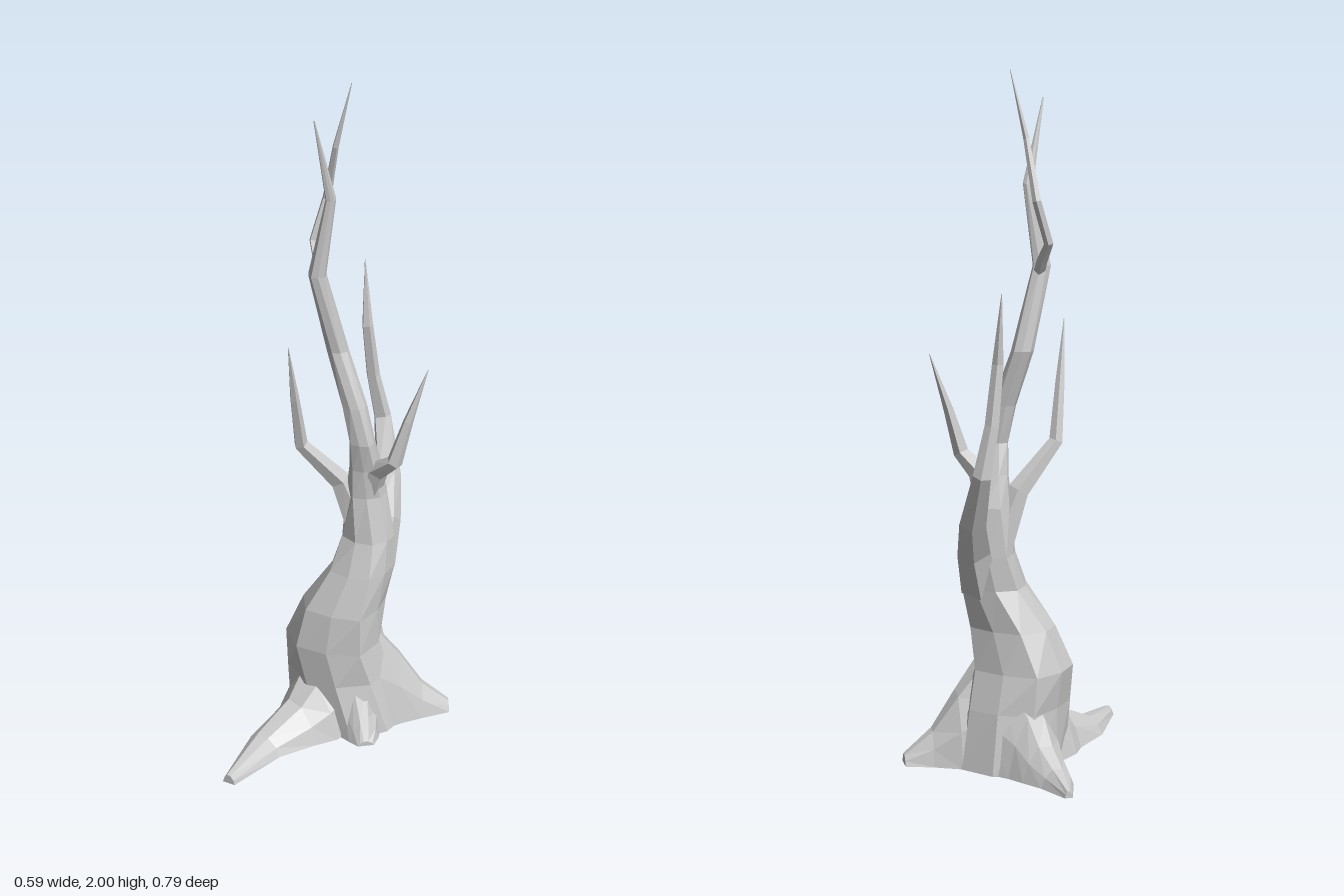
import * as THREE from 'three';

const bark = new THREE.MeshStandardMaterial({ color: 0xcccccc, flatShading: true });

// Skin a stack of equal-sized rings and close both ends
function loft(rings, name) {
  const n = rings[0].length, last = rings.length - 1, pos = [], idx = [];
  rings.forEach(r => r.forEach(p => pos.push(p.x, p.y, p.z)));
  const centre = r => {
    const c = r.reduce((s, p) => s.add(p), new THREE.Vector3()).divideScalar(n);
    pos.push(c.x, c.y, c.z);
    return pos.length / 3 - 1;
  };
  for (let j = 0; j < last; j++) for (let i = 0; i < n; i++) {
    const a = j * n + i, b = j * n + (i + 1) % n;
    idx.push(a, a + n, b, b, a + n, b + n);
  }
  const c0 = centre(rings[0]), c1 = centre(rings[last]);
  for (let i = 0; i < n; i++) {
    const k = (i + 1) % n;
    idx.push(c0, i, k, c1, last * n + k, last * n + i);
  }
  const g = new THREE.BufferGeometry();
  g.setAttribute('position', new THREE.Float32BufferAttribute(pos, 3));
  g.setIndex(idx);
  g.computeVertexNormals();
  const mesh = new THREE.Mesh(g, bark);
  mesh.name = name;
  return mesh;
}

// Direction of a path at station j
function tangent(pts, j) {
  const a = pts[Math.max(j - 1, 0)], b = pts[Math.min(j + 1, pts.length - 1)];
  return b.clone().sub(a).normalize();
}

// Trunk: level rings [x, y, z, radiusX, radiusZ], gnarled by a gentle wobble
function trunk(levels, name) {
  const sides = 9;
  return loft(levels.map(([x, y, z, rx, rz], j) =>
    Array.from({ length: sides }, (_, i) => {
      const a = (i / sides) * Math.PI * 2 + j * 0.12;
      const w = 1.03 + 0.08 * Math.sin(i * 2.6 + j * 0.7);
      return new THREE.Vector3(x + Math.cos(a) * rx * w, y, z + Math.sin(a) * rz * w);
    })), name);
}

// Branch: stations [x, y, z, radius], rings square to the path
function branch(stations, name) {
  const sides = 5, pts = stations.map(s => new THREE.Vector3(s[0], s[1], s[2]));
  const ref = new THREE.Vector3(1, 0, 0.3).normalize();
  return loft(stations.map((s, j) => {
    const t = tangent(pts, j);
    const u = ref.clone().addScaledVector(t, -ref.dot(t)).normalize();
    const v = u.clone().cross(t);
    return Array.from({ length: sides }, (_, i) => {
      const a = (i / sides) * Math.PI * 2;
      return pts[j].clone().addScaledVector(u, Math.cos(a) * s[3]).addScaledVector(v, Math.sin(a) * s[3]);
    });
  }), name);
}

// Root: stations [x, z, halfWidth, height], a ridged section lying flat on the ground
function root(stations, name) {
  const section = [[1, 0], [0.75, 0.55], [0.3, 1], [-0.3, 0.95], [-0.8, 0.5], [-1, 0]];
  const pts = stations.map(s => new THREE.Vector3(s[0], 0, s[1]));
  const up = new THREE.Vector3(0, 1, 0);
  return loft(stations.map((s, j) => {
    const u = tangent(pts, j).cross(up);
    return section.map(([p, q]) => pts[j].clone().addScaledVector(u, p * s[2]).addScaledVector(up, q * s[3]));
  }), name);
}

export function createModel() {
  const tree = new THREE.Group();
  tree.name = 'deadTree';

  // Trunk, leaning and tapering into the tall central limb
  tree.add(trunk([
    [0.08, 0, -0.15, 0.165, 0.165],
    [0.065, 0.17, -0.125, 0.145, 0.15],
    [0.055, 0.28, -0.105, 0.145, 0.135],
    [0.08, 0.4, -0.115, 0.125, 0.115],
    [0.115, 0.52, -0.155, 0.092, 0.09],
    [0.115, 0.62, -0.18, 0.08, 0.07],
    [0.108, 0.76, -0.18, 0.058, 0.06],
    [0.115, 0.85, -0.165, 0.048, 0.045],
    [0.122, 0.94, -0.145, 0.04, 0.036],
    [0.095, 1.05, -0.138, 0.038, 0.035],
    [0.035, 1.21, -0.125, 0.034, 0.032],
    [0.015, 1.45, -0.065, 0.026, 0.027],
    [0.048, 1.68, -0.085, 0.015, 0.016],
    [0.04, 1.92, -0.03, 0.002, 0.002],
  ], 'trunk'));

  // Branches
  tree.add(branch([
    [0.02, 1.42, -0.075, 0.018], [-0.015, 1.47, -0.095, 0.016], [-0.053, 1.52, -0.11, 0.014],
    [-0.048, 1.64, -0.153, 0.013], [0.005, 1.81, -0.138, 0.009], [0.045, 2, -0.16, 0.001],
  ], 'topBranch'));
  tree.add(branch([
    [0.13, 0.52, -0.2, 0.06], [0.1, 0.64, -0.26, 0.05], [0.045, 0.74, -0.32, 0.04],
    [-0.035, 0.89, -0.365, 0.027], [-0.045, 1.03, -0.335, 0.021],
    [-0.045, 1.2, -0.31, 0.017], [-0.07, 1.4, -0.32, 0.001],
  ], 'backBranch'));
  tree.add(branch([
    [0.11, 0.74, -0.175, 0.04], [0.16, 0.85, -0.175, 0.032], [0.225, 0.9, -0.18, 0.024],
    [0.247, 1.03, -0.21, 0.015], [0.275, 1.19, -0.257, 0.001],
  ], 'leftBranch'));
  tree.add(branch([
    [0.09, 0.66, -0.16, 0.045], [0.06, 0.8, -0.115, 0.032], [0.015, 0.935, -0.005, 0.021],
    [0.035, 1.1, 0.035, 0.014], [0.055, 1.28, 0.075, 0.001],
  ], 'frontBranch'));

  // Roots
  tree.add(root([
    [0.06, -0.1, 0.12, 0.26], [0.072, 0.01, 0.115, 0.17], [0.078, 0.07, 0.09, 0.11],
    [0.085, 0.2, 0.062, 0.052], [0.152, 0.385, 0.02, 0.028],
  ], 'frontRoot'));
  tree.add(root([
    [0.04, -0.17, 0.13, 0.27], [-0.075, -0.19, 0.095, 0.17], [-0.135, -0.215, 0.072, 0.1],
    [-0.2, -0.237, 0.05, 0.052], [-0.29, -0.29, 0.012, 0.02],
  ], 'rightRoot'));
  tree.add(root([
    [0.12, -0.16, 0.12, 0.36], [0.175, -0.26, 0.085, 0.21],
    [0.222, -0.315, 0.055, 0.1], [0.27, -0.382, 0.03, 0.03],
  ], 'backRoot'));
  tree.add(root([
    [0.13, -0.11, 0.1, 0.27], [0.195, -0.085, 0.07, 0.17],
    [0.24, -0.065, 0.045, 0.07], [0.266, -0.05, 0.025, 0.015],
  ], 'leftRoot'));
  return tree;
}
